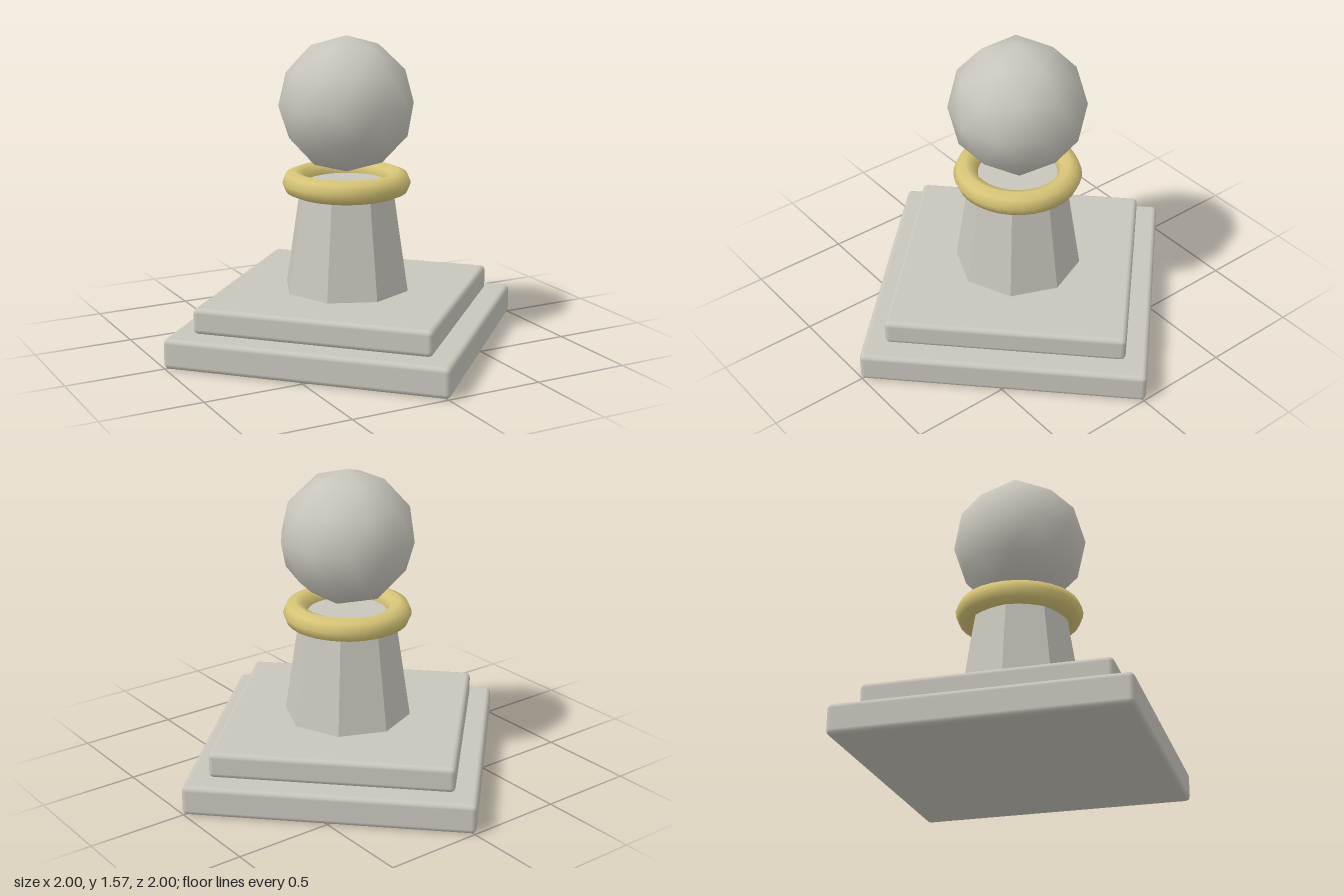
import * as THREE from 'three';
import { RoundedBoxGeometry } from 'three/addons/geometries/RoundedBoxGeometry.js';

export function createModel() {
  const model = new THREE.Group();
  model.name = 'postFinial';

  const stone = new THREE.MeshStandardMaterial({ color: 0xc8c5bc });
  stone.name = 'stone';
  const facetedStone = stone.clone(); // same colour, flat facets
  facetedStone.name = 'facetedStone';
  facetedStone.flatShading = true;
  const gold = new THREE.MeshStandardMaterial({ color: 0xd6c476 });
  gold.name = 'gold';

  function add(name, geometry, material, y) {
    const mesh = new THREE.Mesh(geometry, material);
    mesh.name = name;
    mesh.position.y = y;
    model.add(mesh);
    return mesh;
  }

  // Two square steps, turned so their corners point along x and z
  const bevel = 0.025;
  function addStep(name, reach, bottom, top) {
    const side = Math.SQRT2 * (reach + bevel * (Math.SQRT2 - 1));
    const geometry = new RoundedBoxGeometry(side, top - bottom, side, 2, bevel);
    add(name, geometry, stone, (bottom + top) / 2).rotation.y = Math.PI / 4;
  }
  addStep('lowerStep', 1, 0, 0.153);
  addStep('upperStep', 0.842, 0.153, 0.284);

  // Tapered eight-sided column
  add('column', new THREE.CylinderGeometry(0.241, 0.325, 0.55, 8), facetedStone, 0.559);

  // Gold collar ring
  const ring = new THREE.TorusGeometry(0.263, 0.062, 8, 32);
  ring.rotateX(Math.PI / 2);
  add('collarRing', ring, gold, 0.832);

  // Low-poly ball with one vertex straight up
  const ball = new THREE.IcosahedronGeometry(0.344, 1);
  ball.rotateZ(-Math.atan(2 / (1 + Math.sqrt(5))));
  add('ball', ball, stone, 1.228);

  return model;
}
